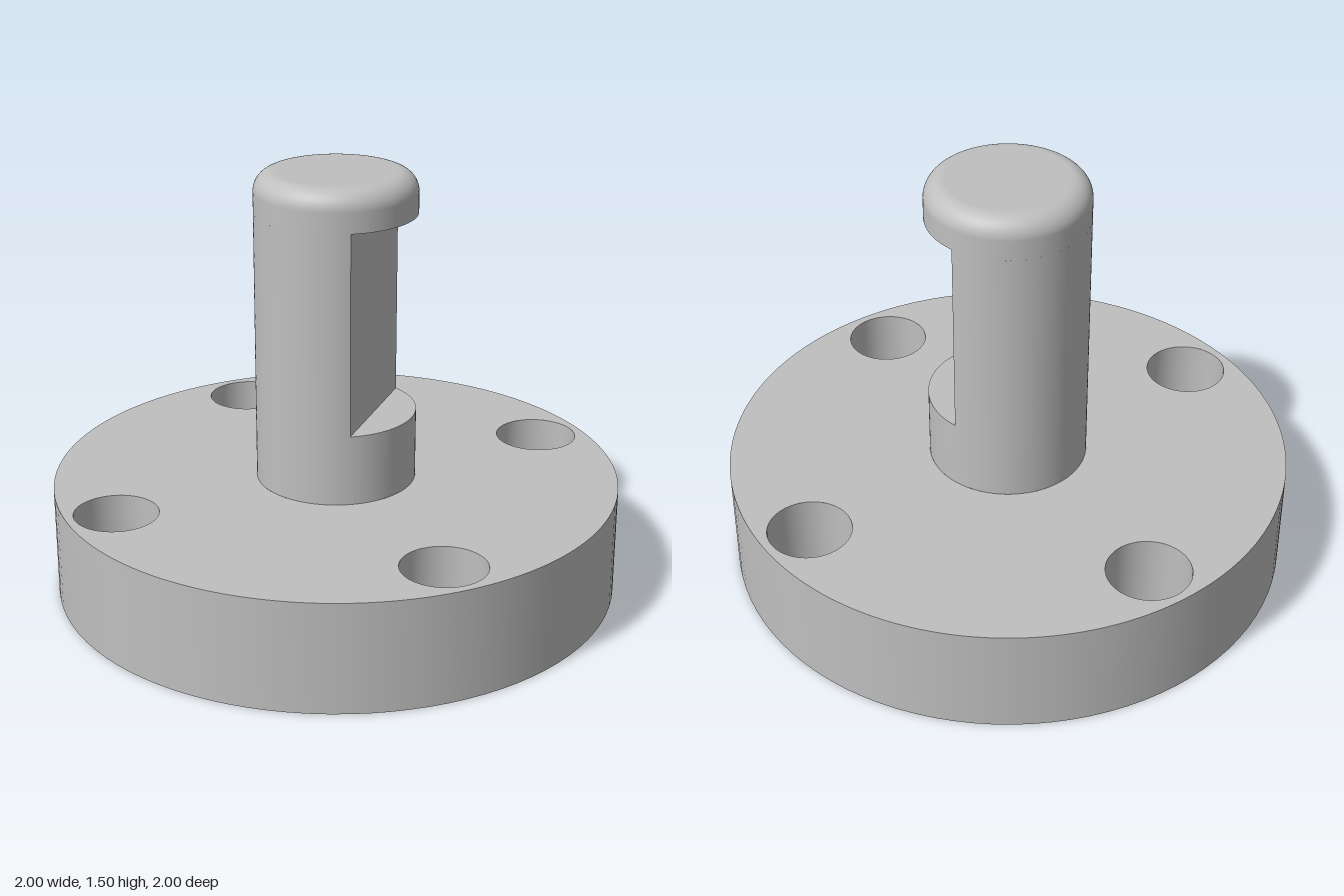
import * as THREE from 'three';

const SEG = 96;
const BASE_R = 1, BASE_H = 0.393;
const HOLE_R = 0.146, HOLE_POS = 0.583;
const RECESS_R = 0.357, RECESS_H = 0.2;
const POST_R = 0.282, POST_TOP = 1.503, FILLET = 0.07;
const FLAT_X = 0.141, FLAT_Y0 = 0.645, FLAT_Y1 = 1.36;

export function createModel() {
  const model = new THREE.Group();
  model.name = 'flangedPost';
  const steel = new THREE.MeshStandardMaterial({ color: 0xbfbfbf });
  steel.name = 'grey steel';

  const add = (parent, name, geometry, x = 0, y = 0, z = 0) => {
    const mesh = new THREE.Mesh(geometry, steel);
    mesh.name = name;
    mesh.position.set(x, y, z);
    parent.add(mesh);
  };
  const group = (name) => {
    const g = new THREE.Group();
    g.name = name;
    model.add(g);
    return g;
  };
  // Round wall: rising from y0 to y1 faces outward, falling faces inward
  const wall = (r, y0, y1, start = 0, length = Math.PI * 2) =>
    new THREE.LatheGeometry([new THREE.Vector2(r, y0), new THREE.Vector2(r, y1)], SEG, start, length);
  // Flat horizontal face from a shape, looking up or down
  const face = (shape, up) =>
    new THREE.ShapeGeometry(shape, SEG).rotateX(up ? -Math.PI / 2 : Math.PI / 2);
  const circle = (r, Type = THREE.Shape) => new Type().absarc(0, 0, r, 0, Math.PI * 2);

  const corners = [[1, 1], [1, -1], [-1, -1], [-1, 1]].map(([x, z]) => [x * HOLE_POS, z * HOLE_POS]);

  // Disc outline with four bolt holes and a central opening
  const plate = (centreR) => {
    const shape = circle(BASE_R);
    shape.holes.push(circle(centreR, THREE.Path));
    for (const [x, y] of corners)
      shape.holes.push(new THREE.Path().absarc(x, y, HOLE_R, 0, Math.PI * 2));
    return shape;
  };

  // Flange
  const flange = group('flange');
  add(flange, 'flangeRim', wall(BASE_R, 0, BASE_H));
  add(flange, 'flangeTop', face(plate(POST_R), true), 0, BASE_H);
  add(flange, 'flangeUnderside', face(plate(RECESS_R), false));
  for (const [x, z] of corners) add(flange, 'boltHole', wall(HOLE_R, BASE_H, 0), x, 0, z);

  // Round recess under the flange
  add(flange, 'recessWall', wall(RECESS_R, RECESS_H, 0));
  add(flange, 'recessCeiling', face(circle(RECESS_R), false), 0, RECESS_H);

  // Post: full round below, D-shaped along the flat, rounded cap on top
  const post = group('post');
  const half = Math.acos(FLAT_X / POST_R);
  add(post, 'postFoot', wall(POST_R, BASE_H, FLAT_Y0));
  add(post, 'postShank', wall(POST_R, FLAT_Y0, FLAT_Y1, Math.PI / 2 + half, 2 * (Math.PI - half)));

  const profile = [new THREE.Vector2(POST_R, FLAT_Y1)];
  for (let i = 0; i <= 12; i++) {
    const t = (i / 12) * Math.PI / 2;
    profile.push(new THREE.Vector2(
      POST_R - FILLET + FILLET * Math.cos(t), POST_TOP - FILLET + FILLET * Math.sin(t)));
  }
  add(post, 'postCap', new THREE.LatheGeometry(profile, SEG));
  add(post, 'postTop', face(circle(POST_R - FILLET), true), 0, POST_TOP);

  // Flat milled into the +x side, with a ledge at each end
  const flat = new THREE.PlaneGeometry(2 * POST_R * Math.sin(half), FLAT_Y1 - FLAT_Y0).rotateY(Math.PI / 2);
  add(post, 'milledFlat', flat, FLAT_X, (FLAT_Y0 + FLAT_Y1) / 2);
  const ledge = new THREE.Shape().absarc(0, 0, POST_R, -half, half);
  add(post, 'lowerLedge', face(ledge, true), 0, FLAT_Y0);
  add(post, 'upperLedge', face(ledge, false), 0, FLAT_Y1);

  return model;
}
